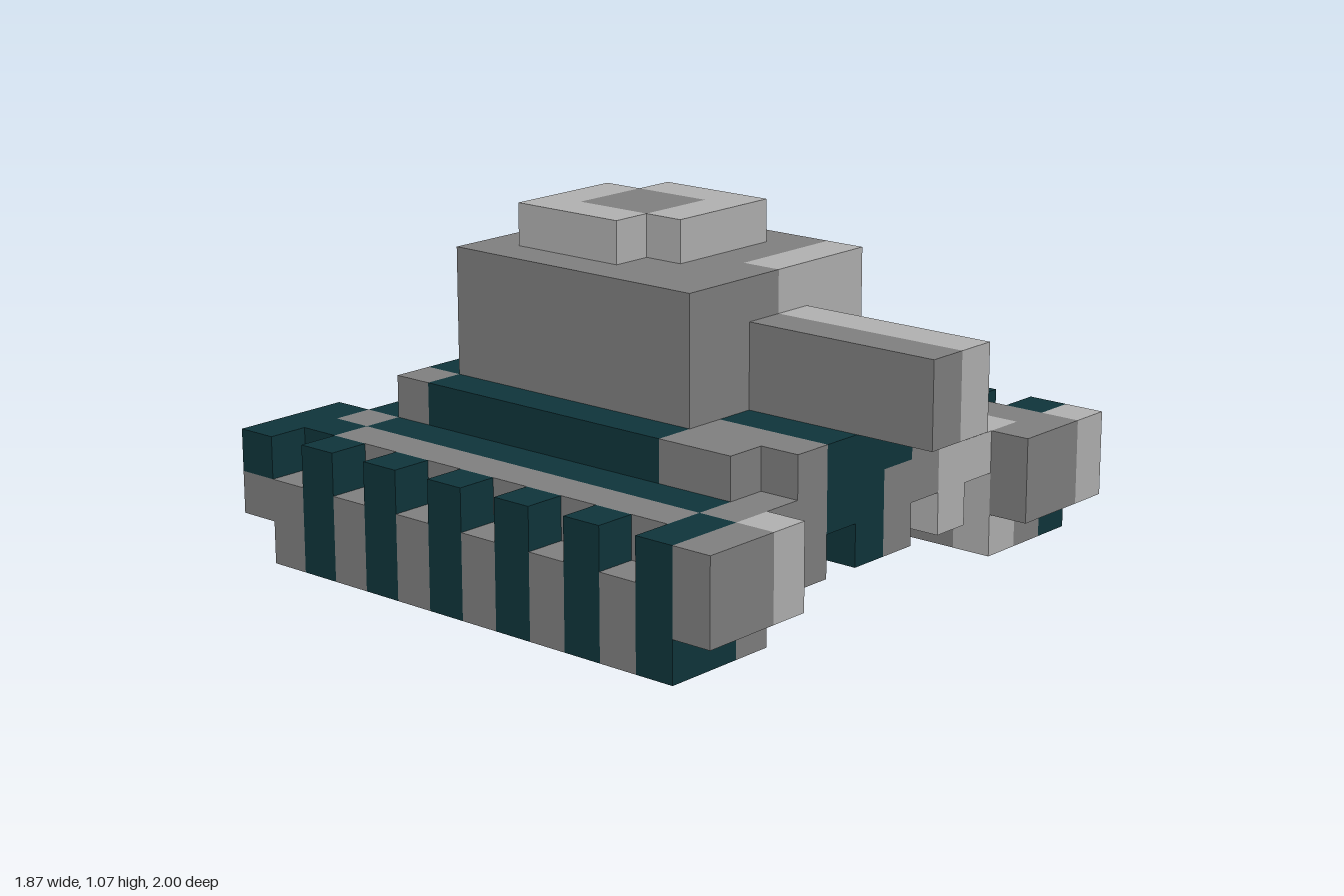
import * as THREE from 'three';

// Everything sits on a grid of cubic cells: 14 wide, 8 high, 15 long.
const U = 2 / 15;

export function createModel() {
  const root = new THREE.Group();
  root.name = 'tank';
  const material = (name, color) => {
    const m = new THREE.MeshStandardMaterial({ color });
    m.name = name;
    return m;
  };
  const light = material('lightGrey', 0xb2b2b2);
  const grey = material('midGrey', 0x808080);
  const teal = material('darkTeal', 0x0f353b);

  const group = (name) => {
    const g = new THREE.Group();
    g.name = name;
    root.add(g);
    return g;
  };

  // Block filling the inclusive cell ranges [from, to] in x, y and z
  function block(parent, name, mat, [x0, x1], [y0, y1], [z0, z1]) {
    const w = x1 - x0 + 1, h = y1 - y0 + 1, d = z1 - z0 + 1;
    const mesh = new THREE.Mesh(new THREE.BoxGeometry(w * U, h * U, d * U), mat);
    mesh.position.set((x0 + w / 2 - 7) * U, (y0 + h / 2) * U, (z0 + d / 2 - 7.5) * U);
    mesh.name = name;
    parent.add(mesh);
  }

  // Tread pads: tall teal cleats alternating with lower grey pads
  function treadPads(parent, x, padMat) {
    for (let z = 1; z <= 12; z++) {
      const tall = z % 2 === 0;
      block(parent, tall ? 'treadCleat' : 'treadPad', tall ? teal : padMat, [x, x], [0, tall ? 2 : 1], [z, z]);
    }
  }

  // Right track (-x)
  const right = group('rightTrack');
  treadPads(right, 0, grey);
  block(right, 'trackCore', grey, [1, 1], [0, 2], [2, 11]);
  block(right, 'trackInnerWall', teal, [2, 2], [0, 2], [2, 11]);
  block(right, 'trackFrontOuter', teal, [1, 1], [0, 2], [12, 12]);
  block(right, 'trackFrontInner', grey, [2, 2], [0, 2], [12, 12]);
  block(right, 'trackRearOuter', teal, [1, 1], [0, 2], [1, 1]);
  block(right, 'trackRearInner', grey, [2, 2], [0, 2], [1, 1]);
  block(right, 'frontFender', grey, [0, 1], [1, 2], [13, 13]);
  block(right, 'frontFenderInner', light, [2, 2], [1, 2], [13, 13]);
  block(right, 'rearFender', teal, [0, 2], [2, 2], [0, 0]);
  block(right, 'rearFenderLower', grey, [0, 2], [1, 1], [0, 0]);

  // Left track (+x)
  const left = group('leftTrack');
  treadPads(left, 13, light);
  block(left, 'trackCore', grey, [12, 12], [0, 2], [1, 12]);
  block(left, 'trackInnerWall', grey, [11, 11], [0, 2], [2, 11]);
  block(left, 'trackFrontInner', light, [11, 11], [0, 2], [12, 12]);
  block(left, 'trackRearInner', teal, [11, 11], [0, 2], [1, 1]);
  block(left, 'frontFender', grey, [11, 12], [1, 2], [13, 13]);
  block(left, 'frontFenderOuter', light, [13, 13], [1, 2], [13, 13]);
  block(left, 'rearFender', teal, [11, 13], [1, 2], [0, 0]);

  // Hull deck
  const hull = group('hull');
  block(hull, 'deckCentre', teal, [4, 9], [3, 3], [3, 9]);
  block(hull, 'deckRightEdge', teal, [3, 3], [3, 3], [3, 9]);
  block(hull, 'deckRightFront', grey, [3, 3], [3, 3], [10, 11]);
  block(hull, 'deckLeftEdge', light, [10, 10], [3, 3], [3, 11]);
  block(hull, 'noseRight', grey, [4, 4], [3, 3], [10, 12]);
  block(hull, 'noseCentre', teal, [5, 7], [3, 3], [10, 12]);
  block(hull, 'noseLeft', light, [8, 8], [3, 3], [10, 11]);
  block(hull, 'noseLeftTip', grey, [8, 8], [3, 3], [12, 12]);
  block(hull, 'noseLeftOuter', light, [9, 9], [3, 3], [10, 12]);

  // Front plate and the legs hanging from it
  block(hull, 'frontPlateRight', grey, [3, 4], [2, 2], [12, 12]);
  block(hull, 'frontPlateMiddle', teal, [5, 6], [2, 2], [12, 12]);
  block(hull, 'frontPlateCentre', grey, [7, 8], [2, 2], [12, 12]);
  block(hull, 'frontPlateLeft', light, [9, 10], [2, 2], [12, 12]);
  [[4, grey], [6, teal], [7, grey], [9, light]].forEach(([x, mat]) =>
    block(hull, 'frontLeg', mat, [x, x], [1, 1], [12, 12]));

  // Rear plate
  block(hull, 'rearDeck', teal, [4, 10], [3, 3], [2, 2]);
  block(hull, 'rearDeckCorner', grey, [3, 3], [3, 3], [2, 2]);
  block(hull, 'rearPlate', teal, [3, 10], [2, 2], [1, 2]);
  block(hull, 'rearHatch', teal, [6, 7], [3, 3], [1, 1]);
  block(hull, 'rearLeg', grey, [6, 7], [1, 1], [1, 1]);

  // Underside: side skirts and cross bars
  for (const x of [3, 10]) block(hull, 'sideSkirt', teal, [x, x], [1, 2], [3, 11]);
  for (let z = 4; z <= 10; z += 2) block(hull, 'crossBar', grey, [4, 9], [2, 2], [z, z]);

  // Turret with a lighter front corner
  const turret = group('turret');
  block(turret, 'turretBody', grey, [4, 9], [4, 6], [3, 8]);
  block(turret, 'turretFrontRight', grey, [4, 6], [4, 6], [9, 9]);
  block(turret, 'turretFrontLeft', light, [7, 9], [4, 6], [9, 9]);
  block(turret, 'gunBarrelRight', grey, [6, 6], [4, 5], [10, 14]);
  block(turret, 'gunBarrelLeft', light, [7, 7], [4, 5], [10, 14]);

  // Hatch: light ring missing two corners around a grey lid
  block(turret, 'hatchLid', grey, [6, 7], [7, 7], [5, 6]);
  block(turret, 'hatchRimBack', light, [5, 7], [7, 7], [4, 4]);
  block(turret, 'hatchRimRight', light, [5, 5], [7, 7], [5, 6]);
  block(turret, 'hatchRimLeft', light, [8, 8], [7, 7], [5, 6]);
  block(turret, 'hatchRimFront', light, [6, 8], [7, 7], [7, 7]);

  return root;
}
